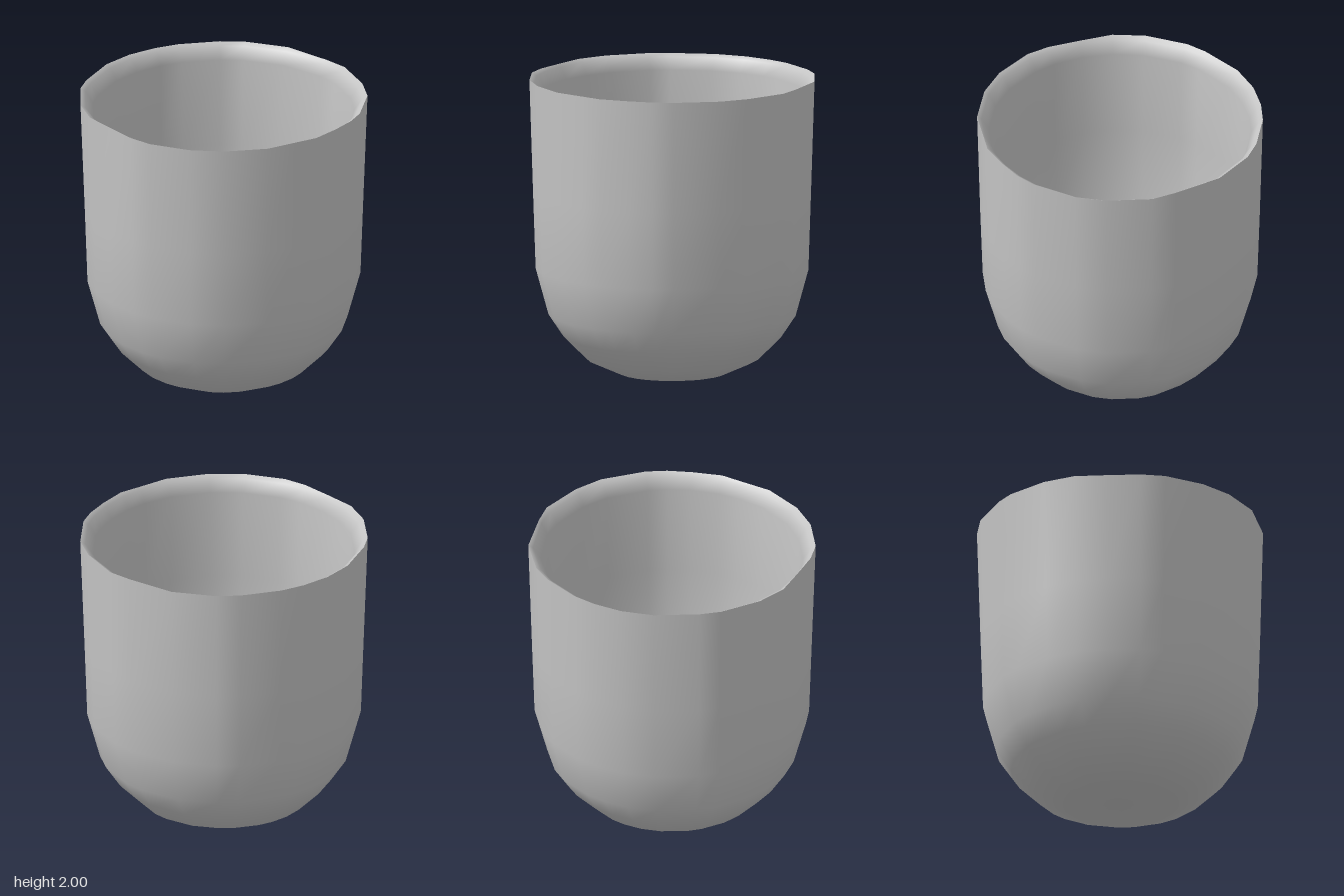
import * as THREE from 'three';

// Hand-cut rim outline (x, z), counterclockwise from above
const rim = [
  [0.14, 0.925], [0.30, 0.90], [0.55, 0.77], [0.72, 0.61], [0.87, 0.36], [0.91, 0.15],
  [0.94, 0], [0.91, -0.2], [0.87, -0.36], [0.81, -0.49], [0.61, -0.73], [0.43, -0.84],
  [0.14, -0.935], [-0.03, -0.925], [-0.36, -0.875], [-0.62, -0.72], [-0.73, -0.60],
  [-0.87, -0.36], [-0.92, -0.20], [-0.945, 0], [-0.92, 0.22], [-0.80, 0.50],
  [-0.72, 0.62], [-0.50, 0.81], [-0.30, 0.90], [-0.08, 0.915],
];

// Rings of [radius, height, share of the rim outline], closed by a pole at one end
function loft(rings, pole, poleFirst) {
  const n = rim.length, pos = [], idx = [];
  for (const [r, y, share] of rings) {
    for (const [x, z] of rim) {
      const len = Math.hypot(x, z);
      const k = (r * (1 - share) + len * share) / len;
      pos.push(x * k, y, z * k);
    }
  }
  pos.push(...pole);
  const tip = rings.length * n, last = (rings.length - 1) * n;
  for (let j = 0; j < n; j++) {
    const k = (j + 1) % n;
    for (let i = 0; i < rings.length - 1; i++) {
      const a = i * n + j, b = i * n + k;
      idx.push(a, b, b + n, a, b + n, a + n);
    }
    if (poleFirst) idx.push(tip, k, j);
    else idx.push(last + j, last + k, tip);
  }
  const g = new THREE.BufferGeometry();
  g.setAttribute('position', new THREE.Float32BufferAttribute(pos, 3));
  g.setIndex(idx);
  g.computeVertexNormals();
  return g;
}

export function createModel() {
  const model = new THREE.Group();
  model.name = 'cup';
  const grey = new THREE.MeshStandardMaterial({ color: 0xc4c4c4 });
  grey.name = 'grey';
  const add = (name, geometry) => {
    const mesh = new THREE.Mesh(geometry, grey);
    mesh.name = name;
    model.add(mesh);
  };

  // Outer wall: rounded base rising into a nearly straight side
  add('outerWall', loft([
    [0.36, 0.035, 0], [0.57, 0.13, 0], [0.72, 0.28, 0], [0.82, 0.43, 0],
    [0.905, 0.74, 0], [0.918, 1.25, 0.15], [0.93, 2, 1],
  ], [-0.02, 0, 0.1], true));

  // Bevelled lip running down into the hollow
  add('lipAndInnerWall', loft([
    [0.93, 2, 1], [0.895, 1.98, 0.4], [0.865, 1.9, 0], [0.85, 1.3, 0], [0.835, 0.76, 0],
    [0.76, 0.48, 0], [0.66, 0.33, 0], [0.52, 0.2, 0], [0.32, 0.11, 0],
  ], [0, 0.08, 0], false));

  return model;
}
